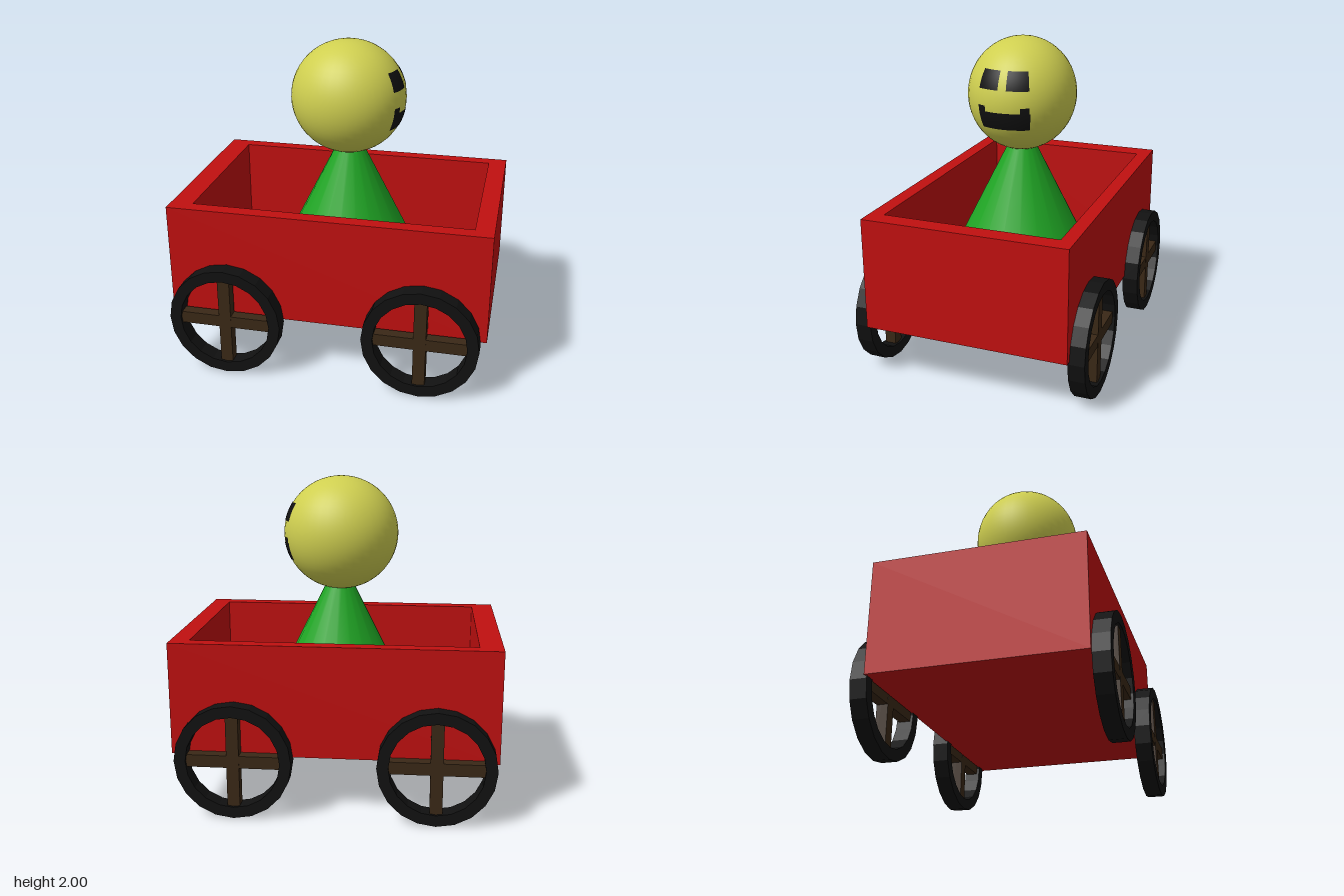
import * as THREE from 'three';

const mat = (color) => new THREE.MeshStandardMaterial({ color });
const red = mat(0xc01010), black = mat(0x111111), brown = mat(0x3a2816);
const green = mat(0x1fa524), yellow = mat(0xcfcf50);

function add(parent, name, geometry, material, x = 0, y = 0, z = 0) {
  const mesh = new THREE.Mesh(geometry, material);
  mesh.name = name;
  mesh.position.set(x, y, z);
  parent.add(mesh);
  return mesh;
}

function rectangle(target, x0, x1, y0, y1) {
  target.moveTo(x0, y0);
  target.lineTo(x1, y0);
  target.lineTo(x1, y1);
  target.lineTo(x0, y1);
  target.closePath();
  return target;
}

// Open-topped cart: a rectangular frame of walls with a floor inside
function createCart() {
  const cart = new THREE.Group();
  cart.name = 'cart';
  const outline = rectangle(new THREE.Shape(), -0.99, 0.985, -0.62, 0.635);
  outline.holes.push(rectangle(new THREE.Path(), -0.85, 0.87, -0.53, 0.55));
  const walls = new THREE.ExtrudeGeometry(outline, { depth: 0.69, bevelEnabled: false });
  walls.rotateX(-Math.PI / 2);
  add(cart, 'walls', walls, red, 0, 0.37, 0);
  add(cart, 'floor', new THREE.BoxGeometry(1.72, 0.08, 1.08), red, 0.01, 0.41, -0.01);
  return cart;
}

// Wheel: flat-sided ring with two crossed bars
function createWheel(x, z) {
  const wheel = new THREE.Group();
  wheel.name = 'wheel';
  const ring = new THREE.Shape();
  ring.absarc(0, 0, 0.355, 0, Math.PI * 2);
  const hole = new THREE.Path();
  hole.absarc(0, 0, 0.285, 0, Math.PI * 2, true);
  ring.holes.push(hole);
  const rim = new THREE.ExtrudeGeometry(ring, { depth: 0.1, bevelEnabled: false, curveSegments: 10 });
  add(wheel, 'rim', rim.translate(0, 0, -0.05), black);
  add(wheel, 'uprightSpoke', new THREE.BoxGeometry(0.076, 0.6, 0.07), brown);
  add(wheel, 'levelSpoke', new THREE.BoxGeometry(0.6, 0.076, 0.068), brown);
  wheel.position.set(x, 0.355, z);
  return wheel;
}

// Rider: cone body and a round head looking towards +x
function createRider() {
  const rider = new THREE.Group();
  rider.name = 'rider';
  add(rider, 'body', new THREE.CylinderGeometry(0.07, 0.395, 0.65, 20), green, 0.018, 1.03, -0.005);

  const head = new THREE.Group();
  head.name = 'head';
  head.position.set(0.01, 1.645, -0.005);
  head.scale.set(0.36, 0.355, 0.338);
  add(head, 'skull', new THREE.SphereGeometry(1, 40, 28), yellow);

  // Face markings are thin patches that follow the head
  const patch = (name, side0, side1, top, bottom) => add(head, name,
    new THREE.SphereGeometry(1.006, 12, 8, Math.PI + side0, side1 - side0, top, bottom - top), black);
  patch('mouth', -0.5, 0.52, 1.72, 2.04);
  for (const s of [-1, 1]) {
    const span = (a, b) => (s > 0 ? [a, b] : [-b, -a]);
    patch('eye', ...span(0.08, 0.5), 1.0, 1.34);
    patch('mouthCorner', ...span(0.34, 0.5), 1.62, 1.74);
  }
  rider.add(head);
  return rider;
}

export function createModel() {
  const model = new THREE.Group();
  model.name = 'cartWithRider';
  model.add(createCart(), createRider());
  for (const x of [-0.62, 0.595]) {
    for (const z of [0.67, -0.675]) model.add(createWheel(x, z));
  }
  return model;
}
